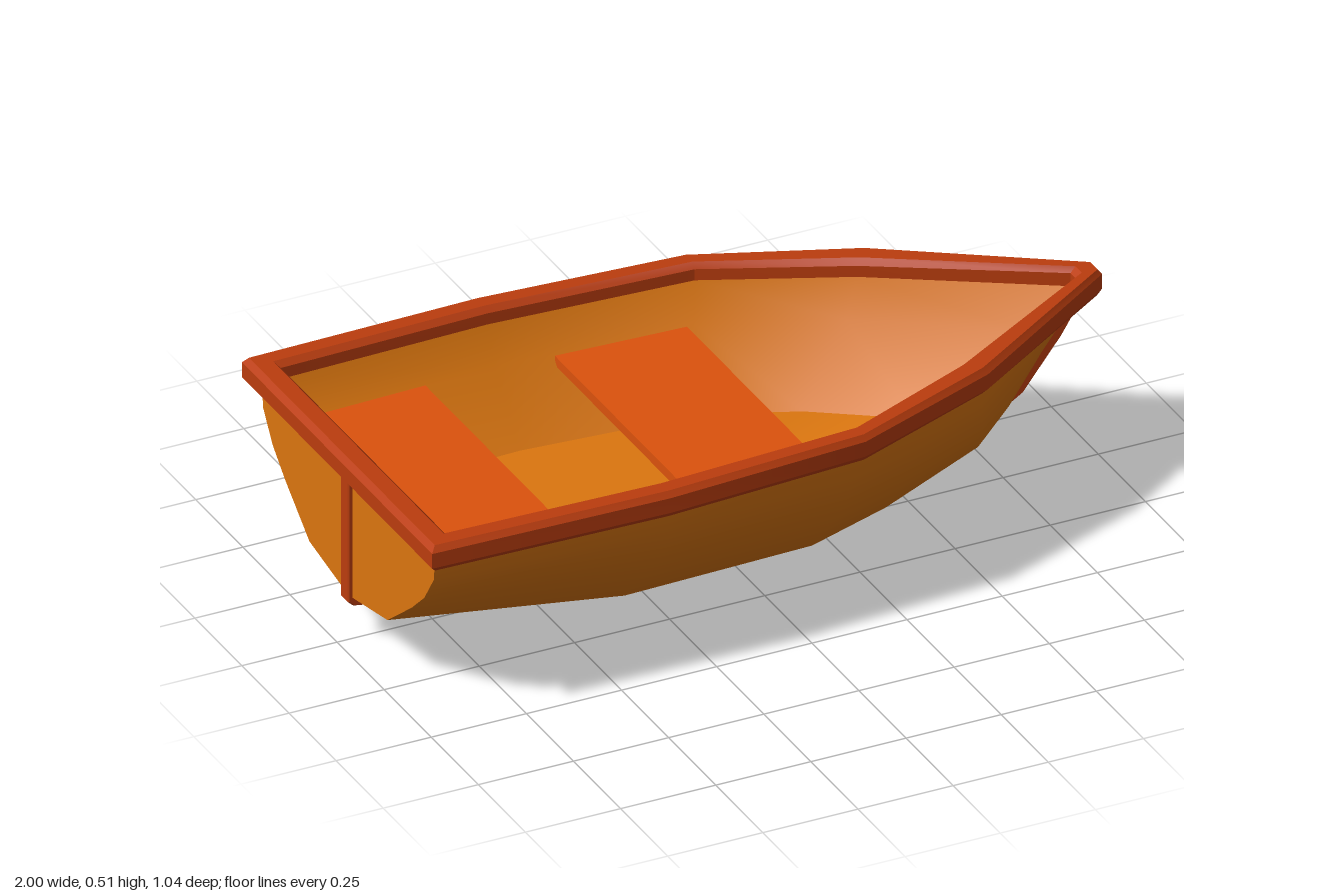
import * as THREE from 'three';
import { toCreasedNormals } from 'three/addons/utils/BufferGeometryUtils.js';

const hullMat = new THREE.MeshStandardMaterial({ color: 0xdb760f });
const trimMat = new THREE.MeshStandardMaterial({ color: 0xbb3d0e });
const seatMat = new THREE.MeshStandardMaterial({ color: 0xdb520d });

// Skins rows of points [x, y, z]; closed joins the end of each row to its start.
function skin(rows, closed, crease) {
  const pos = [];
  const same = (p, q) => p.every((v, k) => Math.abs(v - q[k]) < 1e-6);
  const tri = (a, b, c) => {
    if (!same(a, b) && !same(b, c) && !same(a, c)) pos.push(...a, ...b, ...c);
  };
  const n = rows[0].length;
  for (let i = 0; i < rows.length - 1; i++) {
    for (let j = 0; j < (closed ? n : n - 1); j++) {
      const k = (j + 1) % n;
      tri(rows[i][j], rows[i][k], rows[i + 1][j]);
      tri(rows[i][k], rows[i + 1][k], rows[i + 1][j]);
    }
  }
  const g = new THREE.BufferGeometry();
  g.setAttribute('position', new THREE.Float32BufferAttribute(pos, 3));
  return toCreasedNormals(g, THREE.MathUtils.degToRad(crease));
}

// Full plan outline from the points [x, z] of one side, stern to bow.
const bothSides = (side) => [...side, ...side.map(([x, z]) => [x, -z]).reverse()];

function add(group, name, geometry, material) {
  const mesh = new THREE.Mesh(geometry, material);
  mesh.name = name;
  group.add(mesh);
}

// Outer shell: raked cross-sections from stern to stem, with a flat transom
function hullGeometry() {
  const top = 0.46;
  // half-section: [share of width, share of height]
  const section = [[1, 1], [0.985, 0.81], [0.875, 0.59], [0.73, 0.41], [0.45, 0.115], [0, 0]];
  // [top x, half width, keel x, keel y]
  const stations = [
    [-0.97, 0.46, -0.97, 0.12], [-0.36, 0.48, -0.35, 0.022], [0.14, 0.445, 0.15, 0.022],
    [0.34, 0.375, 0.36, 0.06], [0.53, 0.295, 0.63, 0.15], [0.75, 0.15, 0.73, 0.205],
    [0.95, 0.012, 0.79, 0.245],
  ];
  const rows = stations.map(([xt, w, xk, yk]) => {
    const half = section.map(([u, t]) =>
      [xk + (xt - xk) * t, yk + (top - yk) * t, w * u]);
    return [...half, ...half.slice(0, -1).reverse().map(([x, y, z]) => [x, y, -z])];
  });
  rows.unshift(rows[0].map(() => [-0.97, top, 0]));
  return skin(rows, false, 40);
}

// Inside: sloping walls down to a flat floor
function liningGeometry() {
  const levels = [
    [0.47, [[-0.93, 0.44], [-0.38, 0.455], [0.15, 0.425], [0.5, 0.27], [0.935, 0.02]]],
    [0.375, [[-0.845, 0.405], [-0.38, 0.418], [0.13, 0.39], [0.46, 0.25], [0.82, 0.015]]],
    [0.215, [[-0.63, 0.275], [-0.38, 0.284], [0.08, 0.248], [0.3, 0.155], [0.52, 0.008]]],
  ];
  const rows = levels.map(([y, side]) => bothSides(side).map(([x, z]) => [x, y, z]));
  rows.push(rows[0].map(() => [-0.1, 0.215, 0]));
  return skin(rows, true, 35);
}

// Gunwale: chamfered section swept between an outer and an inner outline
function gunwaleGeometry() {
  const outer = bothSides([[-1, 0.505], [-0.38, 0.518], [0.15, 0.483], [0.55, 0.325], [1, 0.02]]);
  const inner = bothSides([[-0.93, 0.44], [-0.38, 0.455], [0.15, 0.425], [0.5, 0.27], [0.935, 0.016]]);
  // [share from outer to inner, height]
  const section = [[0.2, 0.445], [0, 0.46], [0, 0.5], [0.18, 0.515],
    [0.8, 0.515], [1, 0.5], [1, 0.45], [0.2, 0.445]];
  const rows = section.map(([f, y]) => outer.map(([x, z], i) =>
    [x + (inner[i][0] - x) * f, y, z + (inner[i][1] - z) * f]));
  return skin(rows, true, 20);
}

// Keel strip running down the transom, under the hull and up the stem
function keelGeometry() {
  const shape = new THREE.Shape([
    [-0.978, 0.46], [-0.978, 0.115], [-0.965, 0.103], [-0.35, 0.003], [0.15, 0.003],
    [0.35, 0.046], [0.65, 0.146], [0.79, 0.232], [0.89, 0.36], [0.955, 0.46],
    [0.92, 0.46], [0.86, 0.37], [0.765, 0.258], [0.63, 0.178], [0.34, 0.08],
    [0.14, 0.036], [-0.34, 0.036], [-0.945, 0.134], [-0.945, 0.46],
  ].map(([x, y]) => new THREE.Vector2(x, y)));
  const g = new THREE.ExtrudeGeometry(shape, {
    depth: 0.036, bevelSize: 0.003, bevelThickness: 0.003, bevelSegments: 1,
  });
  return g.translate(0, 0, -0.018);
}

// Bench board fitted between the sides
function benchGeometry(x0, z0, x1, z1) {
  const shape = new THREE.Shape([
    new THREE.Vector2(x0, -z0), new THREE.Vector2(x1, -z1),
    new THREE.Vector2(x1, z1), new THREE.Vector2(x0, z0),
  ]);
  const g = new THREE.ExtrudeGeometry(shape, { depth: 0.025, bevelEnabled: false });
  return g.rotateX(Math.PI / 2).translate(0, 0.375, 0);
}

export function createModel() {
  const boat = new THREE.Group();
  boat.name = 'rowingBoat';
  add(boat, 'hull', hullGeometry(), hullMat);
  add(boat, 'lining', liningGeometry(), hullMat);
  add(boat, 'gunwale', gunwaleGeometry(), trimMat);
  add(boat, 'keel', keelGeometry(), trimMat);
  add(boat, 'sternBench', benchGeometry(-0.84, 0.4, -0.565, 0.41), seatMat);
  add(boat, 'middleBench', benchGeometry(-0.23, 0.4, 0.11, 0.385), seatMat);
  return boat;
}
